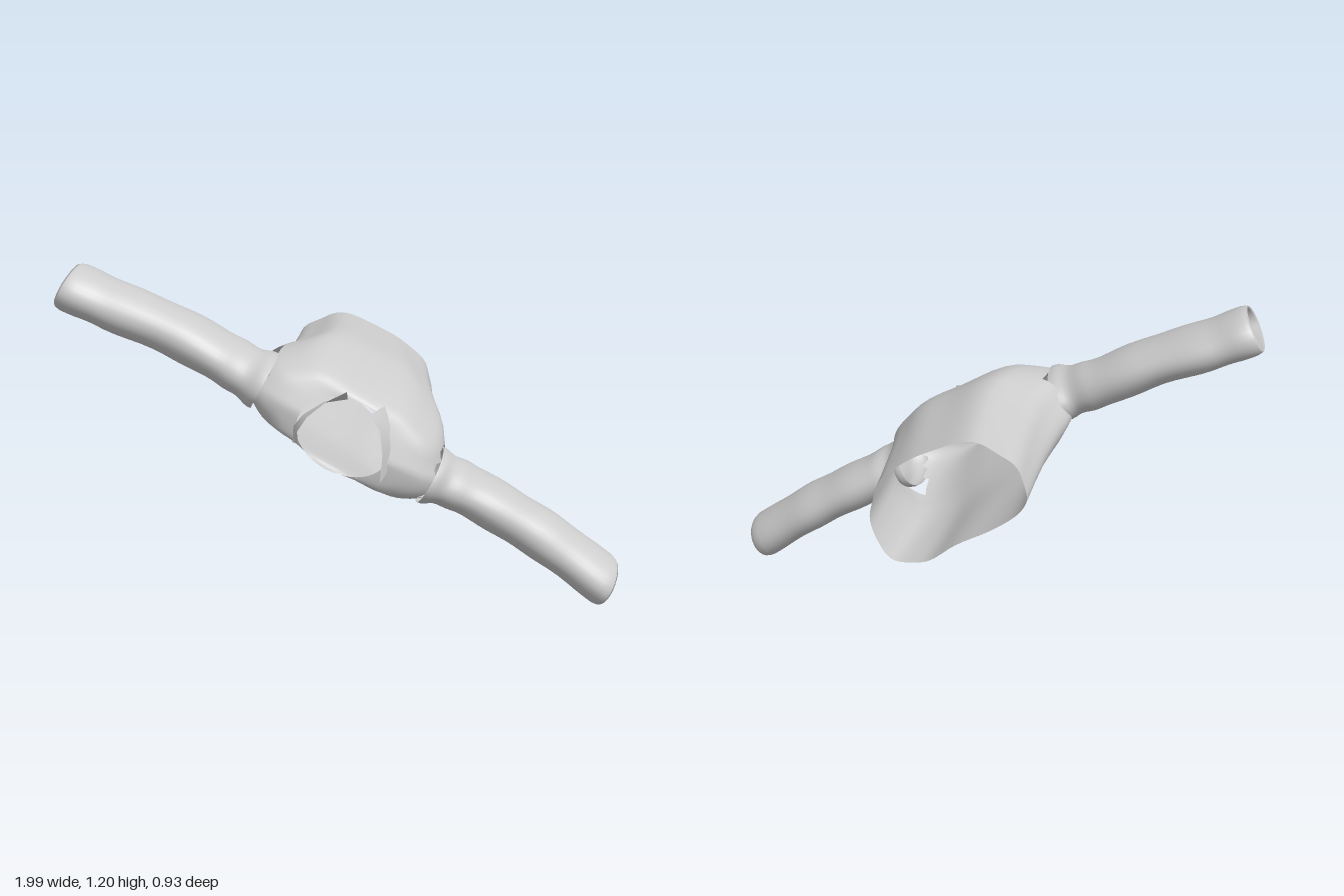
import * as THREE from 'three';

const material = new THREE.MeshStandardMaterial({ color: 0xcccccc, side: THREE.DoubleSide });
const CENTRE = new THREE.Vector3(0.02, 0.66, 0);
const ACROSS = new THREE.Vector3(0.88, -0.475, 0); // shoulder line
const THICK = new THREE.Vector3(0.475, 0.88, 0);   // chest to back
const place = (d, n, z) => CENTRE.clone().addScaledVector(ACROSS, d).addScaledVector(THICK, n).setZ(z);

// Surface through rows of points; rows may be closed rings or open strips, "gap" leaves holes
function loft(name, rows, closed = true, gap = () => false) {
  const n = rows[0].length, index = [];
  for (let r = 0; r < rows.length - 1; r++) {
    for (let i = 0; i < (closed ? n : n - 1); i++) {
      const j = (i + 1) % n, a = r * n + i, b = r * n + j;
      if (gap(rows[r][i].clone().add(rows[r + 1][j]).multiplyScalar(0.5))) continue;
      index.push(a, b, a + n, b, b + n, a + n);
    }
  }
  const geometry = new THREE.BufferGeometry().setFromPoints(rows.flat());
  geometry.setIndex(index);
  geometry.computeVertexNormals();
  const mesh = new THREE.Mesh(geometry, material);
  mesh.name = name;
  return mesh;
}

// Armholes: open patches on both sides of the torso, covered by the sleeve roots
function armhole(p) {
  const q = p.clone().sub(CENTRE);
  return Math.abs(q.dot(ACROSS)) > 0.335 && Math.abs(p.z - 0.235) < 0.11;
}

// Torso: a boxy cross-section lofted from hem to neck opening, widening into the shoulders
function torso() {
  const outline = [[0.333, -0.02], [0.3, 0.08], [0.235, 0.16], [0.14, 0.205], [0, 0.215], [-0.18, 0.2],
    [-0.27, 0.12], [-0.315, 0.03], [-0.31, -0.07], [-0.25, -0.135], [-0.12, -0.155], [0.05, -0.165],
    [0.2, -0.185], [0.305, -0.13]].map(([d, n]) => new THREE.Vector3(d, n, 0));
  const section = new THREE.CatmullRomCurve3(outline, true).getPoints(64).slice(0, 64);
  // z, width scale, thickness scale, blend towards the neck ellipse
  const stations = [[-0.44, 0.91, 0.87, 0], [-0.3, 0.92, 0.92, 0], [-0.15, 0.94, 0.98, 0],
    [-0.05, 0.98, 1.02, 0], [0.03, 1.04, 1.02, 0], [0.08, 1.11, 0.99, 0], [0.13, 1.16, 0.95, 0],
    [0.18, 1.18, 0.9, 0], [0.24, 1.18, 0.84, 0], [0.3, 1.15, 0.77, 0], [0.35, 1.09, 0.71, 0.04],
    [0.385, 1, 0.67, 0.18], [0.4, 0.88, 0.64, 0.5], [0.405, 0.8, 0.62, 1]];
  const rows = stations.map(([z, w, t, blend]) => section.map((p, i) => {
    const a = Math.atan2(p.y / 0.2, p.x / 0.32);
    const fold = 1 + 0.012 * (1 - blend) * Math.sin(i * 0.9 + z * 4);
    const d = THREE.MathUtils.lerp(p.x * w * fold, 0.17 * Math.cos(a), blend);
    const n = THREE.MathUtils.lerp(p.y * t * fold, 0.126 * Math.sin(a) - 0.004, blend);
    const hemDip = z < -0.4 ? 0.028 * Math.sin(a + 0.2) : 0;
    const neckDip = 0.05 * Math.max(0, Math.sin(a)) * Math.max(0, (z - 0.2) / 0.2);
    return place(d, n, z + hemDip - neckDip);
  }));
  return loft('torso', rows, true, armhole);
}

// Sleeve: elliptical tube along a gently bent path, its cuff turned inwards
function sleeve(name, path) {
  const curve = new THREE.CatmullRomCurve3(path.map(p => new THREE.Vector3(...p)));
  const ring = (c, n, depth, phase) => Array.from({ length: 32 }, (_, i) => {
    const a = i / 32 * Math.PI * 2;
    const f = 1 + 0.015 * Math.sin(a * 3 + phase);
    return c.clone().addScaledVector(THICK, Math.cos(a) * n * f)
      .add(new THREE.Vector3(0, 0, Math.sin(a) * depth * f));
  });
  const rows = [];
  for (let i = 0; i <= 24; i++) {
    const t = i / 24;
    // Armhole flare that eases into the arm
    const flare = Math.exp(-((t / 0.13) ** 2));
    const fold = 0.002 * Math.sin(t * 27);
    rows.push(ring(curve.getPoint(t), 0.086 + 0.014 * flare + fold, 0.132 + 0.026 * flare + fold, t * 9));
  }
  // Rounded cuff lip and the turned-in lining
  const end = curve.getPoint(1), out = curve.getTangent(1);
  for (const [step, s] of [[0.025, 0.98], [0.043, 0.93], [0.05, 0.88], [0.042, 0.84], [-0.02, 0.83]]) {
    rows.push(ring(end.clone().addScaledVector(out, step), 0.09 * s, 0.132 * s, 9));
  }
  return loft(name, rows);
}

// Collar flap: a folded strip standing along part of the neck edge
const flap = (name, inner, outer) => loft(name,
  [inner, outer].map(row => row.map(p => new THREE.Vector3(...p))), false);

export function createModel() {
  const model = new THREE.Group();
  model.add(
    torso(),
    sleeve('rightSleeve', [[-0.27, 0.808, 0.243], [-0.34, 0.838, 0.232], [-0.43, 0.883, 0.212],
      [-0.6, 0.973, 0.205], [-0.8, 1.055, 0.205], [-0.918, 1.108, 0.215]]),
    sleeve('leftSleeve', [[0.31, 0.478, 0.238], [0.37, 0.45, 0.226], [0.45, 0.406, 0.207],
      [0.6, 0.318, 0.2], [0.75, 0.222, 0.2], [0.916, 0.1, 0.213]]),
    flap('rightCollarFlap',
      [[-0.155, 0.64, 0.405], [-0.15, 0.7, 0.41], [-0.12, 0.735, 0.39], [-0.05, 0.775, 0.365], [0.03, 0.78, 0.345]],
      [[-0.135, 0.64, 0.42], [-0.13, 0.7, 0.465], [-0.1, 0.745, 0.45], [-0.04, 0.79, 0.42], [0.03, 0.82, 0.39]]),
    flap('leftCollarFlap',
      [[0.155, 0.76, 0.345], [0.177, 0.7, 0.355], [0.182, 0.62, 0.375], [0.17, 0.54, 0.4]],
      [[0.11, 0.745, 0.4], [0.145, 0.69, 0.415], [0.155, 0.61, 0.435], [0.148, 0.52, 0.46]]));
  return model;
}
